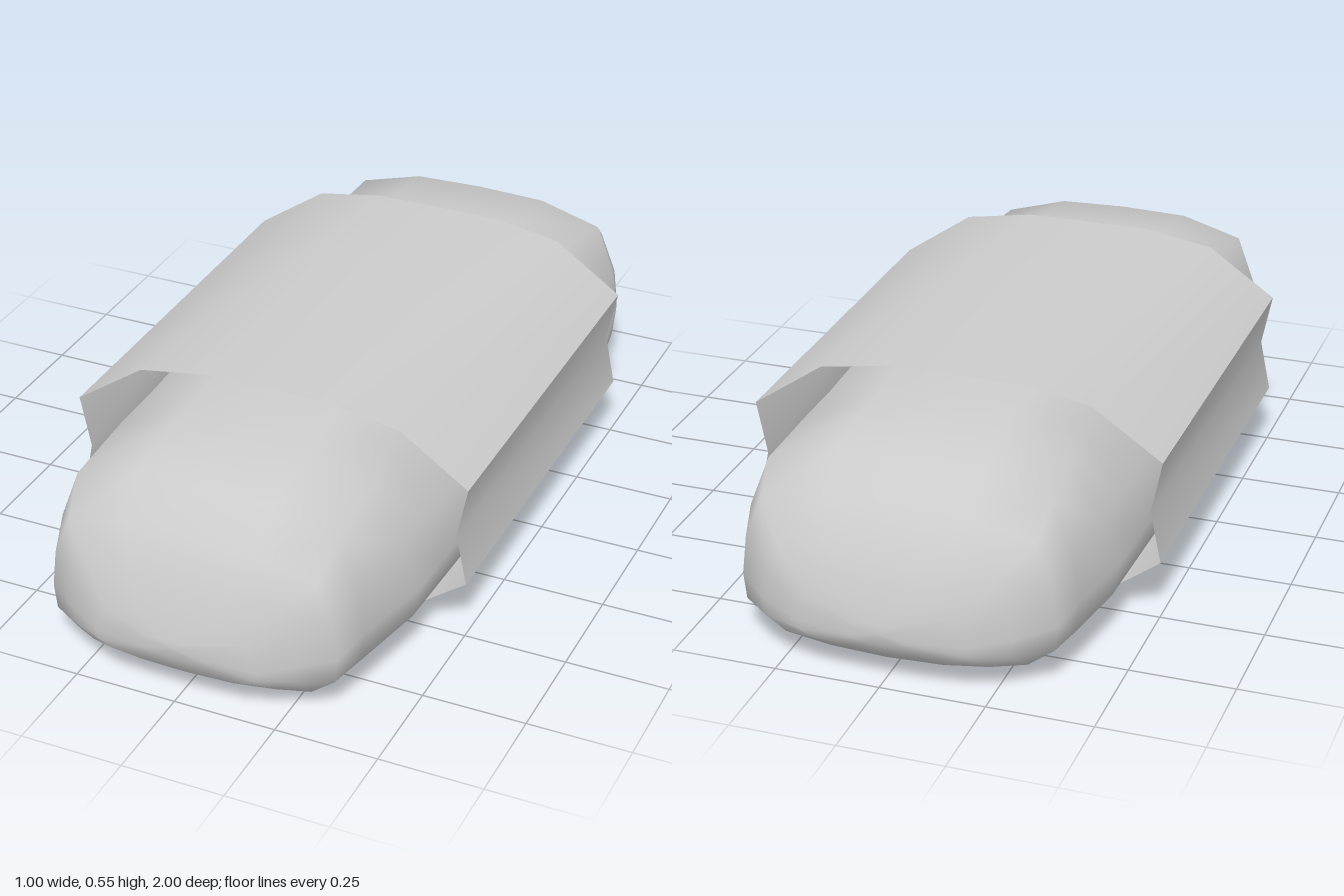
import * as THREE from 'three';
import { toCreasedNormals } from 'three/addons/utils/BufferGeometryUtils.js';

// Half outline (top centre to bottom centre) mirrored into a closed ring
const mirrorRing = (half) => [...half, ...half.slice(1, -1).reverse().map(([x, y]) => [-x, y])];

// Skin a list of equal-length rings of [x, y, z], ordered from back to front
function loft(rings) {
  const n = rings[0].length;
  const index = [];
  for (let r = 0; r < rings.length - 1; r++) {
    for (let i = 0; i < n; i++) {
      const a = r * n + i, b = r * n + (i + 1) % n;
      index.push(a, a + n, b, b, a + n, b + n);
    }
  }
  const geometry = new THREE.BufferGeometry();
  geometry.setAttribute('position', new THREE.Float32BufferAttribute(rings.flat(2), 3));
  geometry.setIndex(index);
  geometry.computeVertexNormals();
  return geometry;
}

// Unit cross-sections: rounded at mid-length, boxier toward the ends
const ROUND = [[0, 1], [0.37, 0.98], [0.68, 0.89], [0.9, 0.57], [1, 0.365], [0.965, 0.215], [0.77, 0.065], [0.42, 0.01], [0, 0]];
const BOXY = [[0, 1], [0.45, 0.99], [0.86, 0.89], [0.97, 0.62], [1, 0.365], [0.98, 0.2], [0.82, 0.08], [0.45, 0.02], [0, 0]];

// Body stations: z, half width, bottom, top, boxiness
const STATIONS = [
  [-1, 0, 0.135, 0.135, 1],
  [-0.999, 0.07, 0.11, 0.16, 1],
  [-0.985, 0.2, 0.08, 0.21, 1],
  [-0.95, 0.295, 0.05, 0.315, 1],
  [-0.88, 0.375, 0.02, 0.4, 1],
  [-0.8, 0.4, 0.014, 0.47, 0.9],
  [-0.62, 0.435, 0.007, 0.5, 0.3],
  [-0.5, 0.441, 0.006, 0.515, 0.1],
  [0, 0.457, 0.004, 0.54, 0],
  [0.5, 0.439, 0.006, 0.515, 0.1],
  [0.62, 0.432, 0.007, 0.5, 0.3],
  [0.82, 0.385, 0.014, 0.47, 0.9],
  [0.9, 0.358, 0.02, 0.385, 1],
  [0.95, 0.28, 0.05, 0.315, 1],
  [0.985, 0.2, 0.08, 0.21, 1],
  [0.999, 0.07, 0.12, 0.165, 1],
  [1, 0, 0.145, 0.145, 1],
];

function bodyRing([z, w, bottom, top, box]) {
  const half = ROUND.map(([x, y], i) => [
    THREE.MathUtils.lerp(x, BOXY[i][0], box) * w,
    THREE.MathUtils.lerp(bottom, top, THREE.MathUtils.lerp(y, BOXY[i][1], box)),
  ]);
  return mirrorRing(half).map(([x, y]) => [x, y, z]);
}

export function createModel() {
  const model = new THREE.Group();
  const grey = new THREE.MeshStandardMaterial({ color: 0xcccccc });
  const greyThin = new THREE.MeshStandardMaterial({ color: 0xcccccc, side: THREE.DoubleSide });

  // Smooth pillow-shaped body with rounded ends
  const body = new THREE.Mesh(loft(STATIONS.map(bodyRing)), grey);
  body.name = 'body';
  model.add(body);

  // Open-ended sleeve around the middle, with pinched sides
  const sleeveRing = mirrorRing([
    [0, 0.546], [0.16, 0.545], [0.33, 0.517], [0.5, 0.4], [0.474, 0.272],
    [0.5, 0.145], [0.34, 0.028], [0.18, 0.001], [0, 0],
  ]);
  const sleeveGeometry = loft([-0.505, 0.5].map((z) => sleeveRing.map(([x, y]) => [x, y, z])));
  const sleeve = new THREE.Mesh(toCreasedNormals(sleeveGeometry, THREE.MathUtils.degToRad(28)), greyThin);
  sleeve.name = 'sleeve';
  model.add(sleeve);

  return model;
}

// toCreasedNormals is bundled with BufferGeometryUtils
